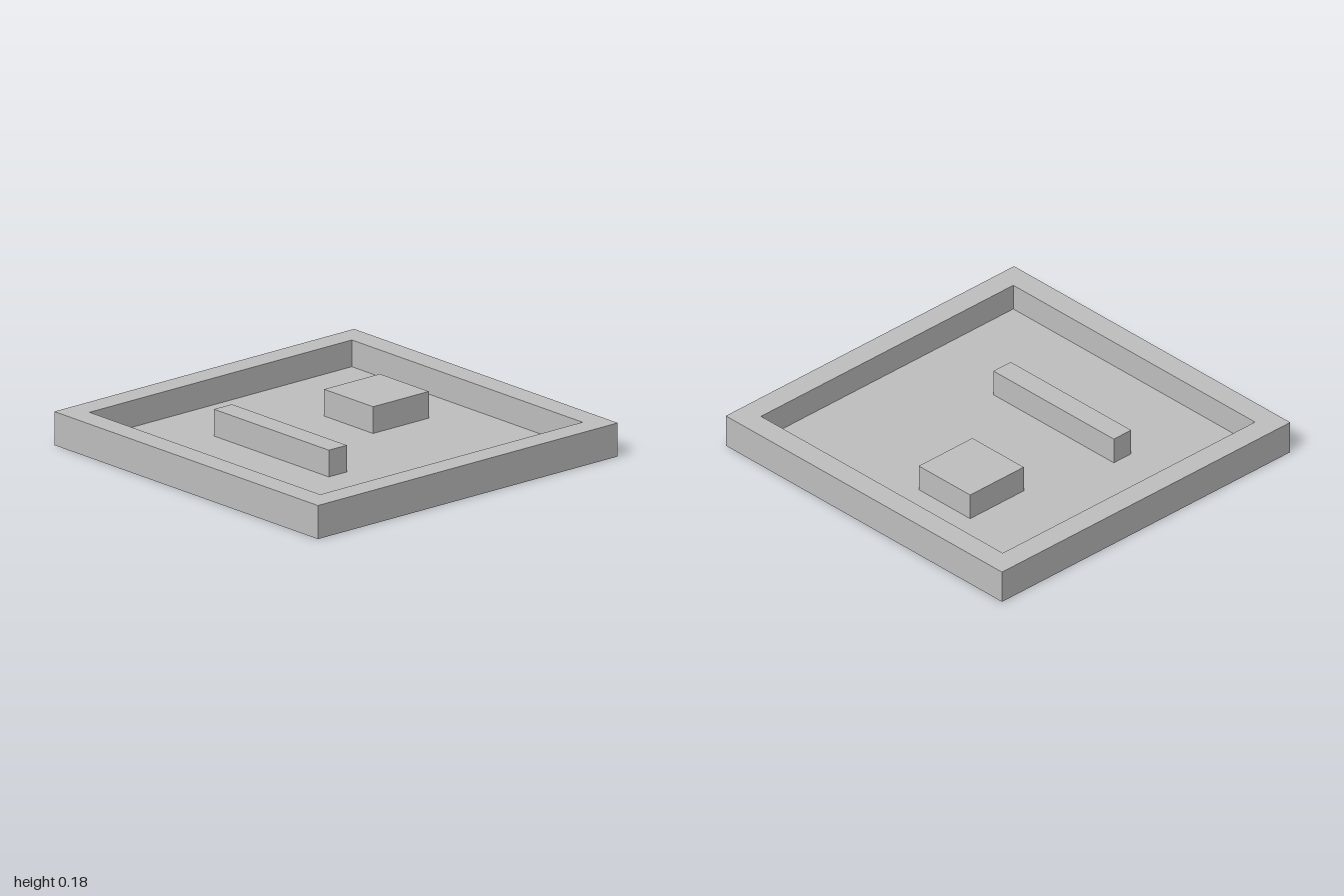
import * as THREE from 'three';

const HEIGHT = 0.177; // rim height
const FLOOR = 0.036;  // tray floor level
const INNER = 0.875;  // half width of the recess

export function createModel() {
  const model = new THREE.Group();
  model.name = 'tray';
  const grey = new THREE.MeshStandardMaterial({ color: 0xc0c0c0 });
  grey.name = 'plain grey';

  const add = (name, geometry) => {
    const mesh = new THREE.Mesh(geometry, grey);
    mesh.name = name;
    model.add(mesh);
    return mesh;
  };

  // Block standing on the floor, given by its extents in x and z
  const block = (name, x0, x1, z0, z1, top) => {
    const mesh = add(name, new THREE.BoxGeometry(x1 - x0, top - FLOOR, z1 - z0));
    mesh.position.set((x0 + x1) / 2, (top + FLOOR) / 2, (z0 + z1) / 2);
  };

  // Square outline of a given half width
  const square = (path, h) =>
    path.moveTo(-h, -h).lineTo(h, -h).lineTo(h, h).lineTo(-h, h).closePath();

  // Base plate
  add('floor', new THREE.BoxGeometry(2, FLOOR, 2)).position.y = FLOOR / 2;

  // Surrounding wall: a square frame standing on the plate
  const frame = square(new THREE.Shape(), 1);
  frame.holes.push(square(new THREE.Path(), INNER));
  const wall = new THREE.ExtrudeGeometry(frame, { depth: HEIGHT - FLOOR, bevelEnabled: false });
  wall.rotateX(-Math.PI / 2);
  add('wall', wall).position.y = FLOOR;

  // Obstacles inside the tray
  block('longBar', -0.375, -0.255, -0.5, 0.372, HEIGHT);
  block('squareBlock', 0.25, 0.622, -0.375, -0.003, HEIGHT);
  block('smallCube', 0.805, 0.85, 0.79, 0.832, FLOOR + 0.047);

  return model;
}
